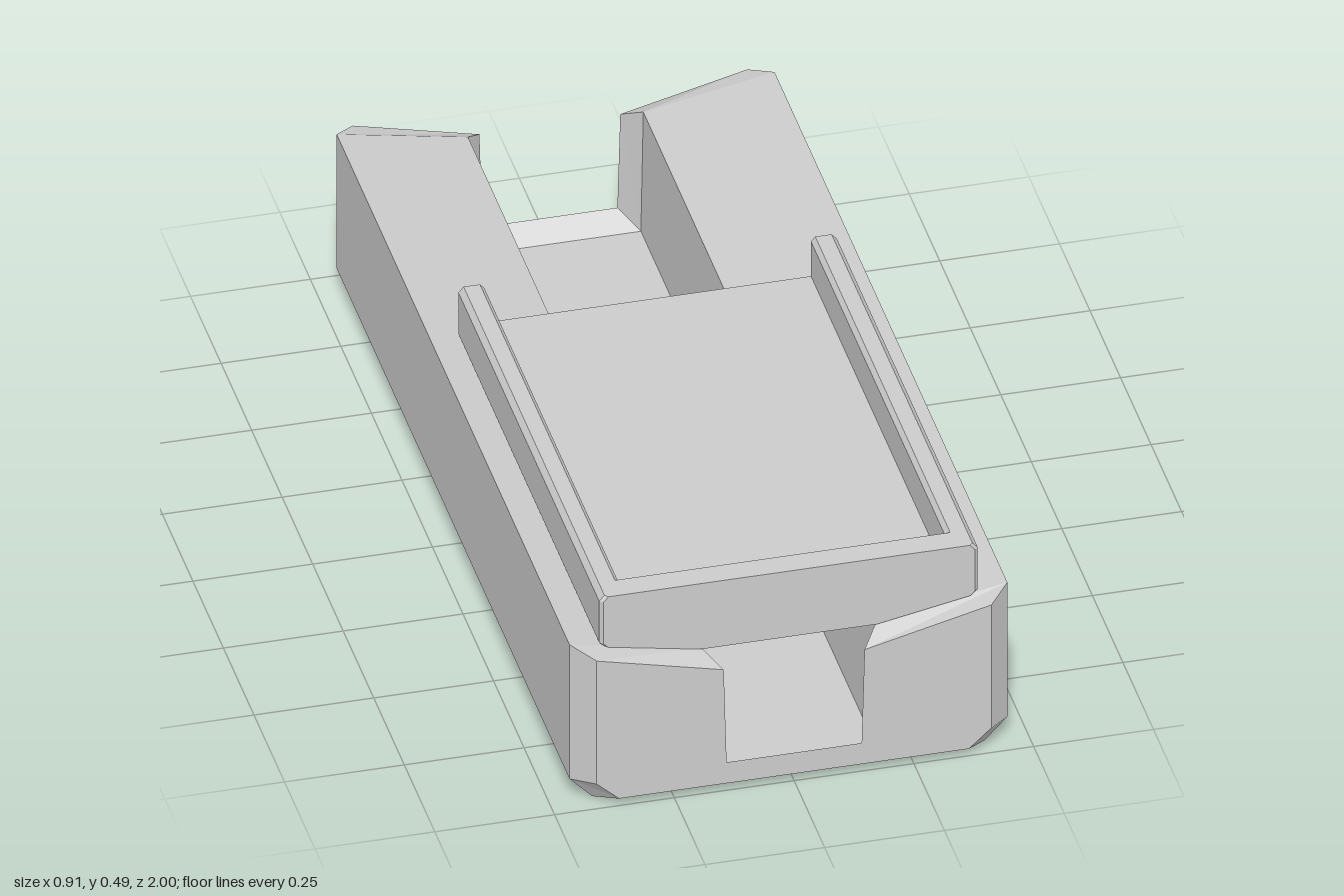
import * as THREE from 'three';

const material = new THREE.MeshStandardMaterial({ color: 0xcccccc, flatShading: true });

// Full outline (counter-clockwise seen from +z) from its right half, listed bottom to top.
const mirrorX = half => [...half, ...half.map(([x, y]) => [-x, y]).reverse()];

// Solid through matching cross-sections, ordered from back to front, with end caps.
function loft(name, sections) {
  const pos = [];
  const put = ([x, y], z) => pos.push(x, y, z);
  for (let s = 0; s < sections.length - 1; s++) {
    const a = sections[s], b = sections[s + 1], n = a.pts.length;
    for (let i = 0; i < n; i++) {
      const j = (i + 1) % n;
      put(a.pts[i], a.z); put(a.pts[j], a.z); put(b.pts[j], b.z);
      put(a.pts[i], a.z); put(b.pts[j], b.z); put(b.pts[i], b.z);
    }
  }
  const cap = ({ pts, z }, front) => {
    const outline = pts.map(p => new THREE.Vector2(...p));
    for (const [i, j, k] of THREE.ShapeUtils.triangulateShape(outline, [])) {
      const ccw = (outline[j].x - outline[i].x) * (outline[k].y - outline[i].y)
        - (outline[j].y - outline[i].y) * (outline[k].x - outline[i].x) > 0;
      for (const v of ccw === front ? [i, j, k] : [i, k, j]) put(pts[v], z);
    }
  };
  cap(sections[0], false);
  cap(sections[sections.length - 1], true);
  const geometry = new THREE.BufferGeometry();
  geometry.setAttribute('position', new THREE.Float32BufferAttribute(pos, 3));
  geometry.computeVertexNormals();
  const mesh = new THREE.Mesh(geometry, material);
  mesh.name = name;
  return mesh;
}

export function createModel() {
  const group = new THREE.Group();
  group.name = 'channelBlockWithTray';

  // Base block: long channel section, bevelled towards both ends
  const baseFull = mirrorX([[0.41, 0], [0.457, 0.05], [0.457, 0.377], [0.183, 0.325], [0.178, 0.035]]);
  const baseEnd = mirrorX([[0.365, 0.017], [0.412, 0.06], [0.412, 0.36], [0.147, 0.295], [0.141, 0.068]]);
  group.add(loft('base', [
    { pts: baseEnd, z: -1 },
    { pts: baseFull, z: -0.953 },
    { pts: baseFull, z: 0.953 },
    { pts: baseEnd, z: 1 },
  ]));

  // Tray: keel-shaped underside, rims with chamfered top edges, open at the back
  const outer = [[0.187, 0.325], [0.385, 0.362], [0.395, 0.372], [0.395, 0.473], [0.384, 0.485]];
  const trough = mirrorX([...outer, [0.35, 0.485], [0.341, 0.475], [0.341, 0.39]]);
  group.add(loft('tray', [{ pts: trough, z: -0.2 }, { pts: trough, z: 0.908 }]));

  // Front wall of the tray, its side edges slightly bevelled
  const wall = mirrorX(outer);
  const wallFace = wall.map(([x, y]) => [x * 0.982, y]);
  group.add(loft('trayFrontWall', [
    { pts: wall, z: 0.905 },
    { pts: wall, z: 0.953 },
    { pts: wallFace, z: 0.96 },
  ]));

  return group;
}
